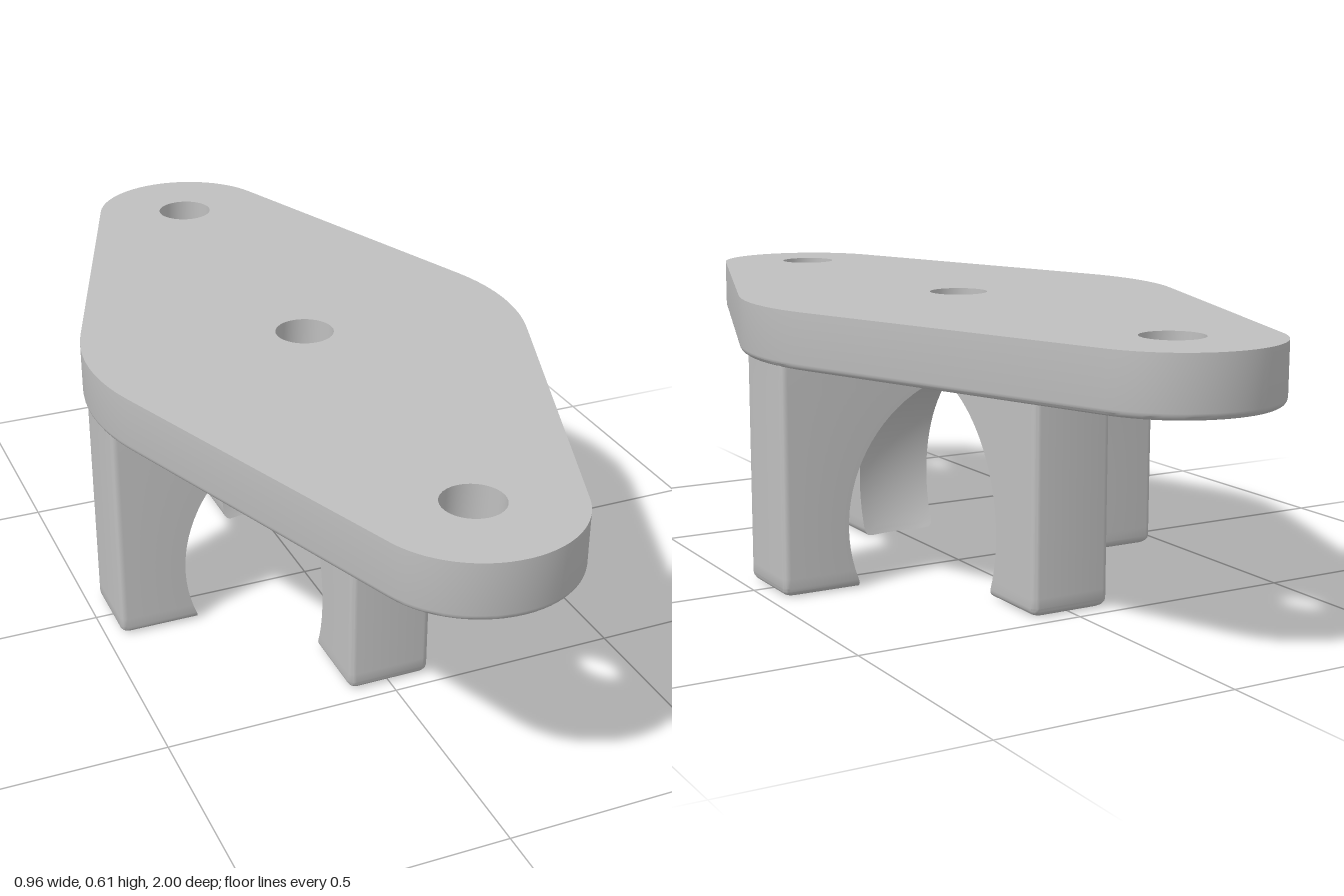
import * as THREE from 'three';
import { mergeGeometries, toCreasedNormals } from 'three/addons/utils/BufferGeometryUtils.js';

const TOP = 0.61, BOTTOM = 0.49, FLOOR = 0.525; // plate levels, nut pocket floor
const MID_R = 0.48, END_R = 0.21, END_Z = 0.79, HOLE_R = 0.063, NUT_R = 0.136;
const BALL_R = 0.33, BALL_Y = 0.135; // spherical socket between the legs

// Skin between matching [x, z] loops; rows going up face outwards, rows going down face inwards
function loft(rows, cap = false) {
  const pos = [];
  const put = (row, i) => {
    const p = row.loop[i % row.loop.length];
    pos.push(p[0], row.y, p[1]);
  };
  const n = rows[0].loop.length;
  for (let j = 0; j < rows.length - 1; j++) {
    const a = rows[j], b = rows[j + 1];
    for (let i = 0; i < n; i++) {
      put(a, i); put(b, i); put(a, i + 1);
      put(a, i + 1); put(b, i); put(b, i + 1);
    }
  }
  if (cap) {
    const r = rows[0];
    const cx = r.loop.reduce((s, p) => s + p[0], 0) / n;
    for (let i = 0; i < n; i++) {
      pos.push(cx, r.y, 0);
      put(r, i); put(r, i + 1);
    }
  }
  const g = new THREE.BufferGeometry();
  g.setAttribute('position', new THREE.Float32BufferAttribute(pos, 3));
  return toCreasedNormals(g, 0.6);
}

function arc(cx, cz, r, a0, a1, n) {
  return Array.from({ length: n + 1 }, (_, i) => {
    const a = a0 + (a1 - a0) * i / n;
    return [cx + r * Math.cos(a), cz + r * Math.sin(a)];
  });
}
const ring = (cz, r, n) => arc(0, cz, r, 0, Math.PI * 2, n).slice(0, n);

// Lozenge outline: large middle arc joined to smaller end arcs by tangents
function outline(inset) {
  const t = Math.asin((MID_R - END_R) / END_Z), P = Math.PI;
  return [
    ...arc(0, 0, MID_R - inset, -t, t, 10),
    ...arc(0, END_Z, END_R - inset, t, P - t, 28),
    ...arc(0, 0, MID_R - inset, P - t, P + t, 10),
    ...arc(0, -END_Z, END_R - inset, P + t, 2 * P - t, 28),
  ];
}

// Flat horizontal face with holes
function face(loop, holes, y, up) {
  const vec = (l) => l.map((p) => new THREE.Vector2(p[0], p[1]));
  const shape = new THREE.Shape(vec(loop));
  holes.forEach((h) => shape.holes.push(new THREE.Path(vec(h))));
  // turned over so that the shape's y runs along z
  const g = new THREE.ShapeGeometry(shape).toNonIndexed();
  g.deleteAttribute('uv');
  if (up) g.scale(1, -1, 1).rotateX(-Math.PI / 2);
  else g.rotateX(Math.PI / 2);
  if (up) {
    // mirrored above, so restore the corner order
    const p = g.attributes.position;
    for (let i = 0; i < p.count; i += 3) {
      const a = [p.getX(i), p.getY(i), p.getZ(i)];
      p.setXYZ(i, p.getX(i + 1), p.getY(i + 1), p.getZ(i + 1));
      p.setXYZ(i + 1, ...a);
    }
    g.computeVertexNormals();
  }
  return g.translate(0, y, 0);
}

function plateGeometry() {
  const edge = 0.014, parts = [], rows = [];
  for (let i = 0; i <= 4; i++) {
    const a = i / 4 * Math.PI / 2;
    rows.push({ y: BOTTOM + edge * (1 - Math.cos(a)), loop: outline(edge * (1 - Math.sin(a))) });
  }
  rows.push({ y: TOP, loop: outline(0) });
  parts.push(loft(rows));

  const bore = (z) => ring(z, HOLE_R, 32);
  const nut = (z) => ring(z, NUT_R, 6);
  const ends = [-END_Z, END_Z];
  parts.push(face(outline(0), [bore(0), ...ends.map(bore)], TOP, true));
  parts.push(face(outline(edge), [bore(0), ...ends.map(nut)], BOTTOM, false));
  parts.push(loft([{ y: TOP, loop: bore(0) }, { y: BOTTOM, loop: bore(0) }]));

  // bolt holes with hexagonal nut pockets underneath
  ends.forEach((z) => {
    parts.push(loft([{ y: TOP, loop: bore(z) }, { y: FLOOR, loop: bore(z) }]));
    parts.push(loft([{ y: FLOOR, loop: nut(z) }, { y: BOTTOM, loop: nut(z) }]));
    parts.push(face(nut(z), [bore(z)], FLOOR, false));
  });
  return mergeGeometries(parts);
}

// Leg section: rounded outer corners, inner side hollowed by the ball
function legLoop(y, inset) {
  const out = 0.467 - inset, half = 0.09 - inset, r = 0.014;
  const loop = [
    ...arc(out - r, -half + r, r, -Math.PI / 2, 0, 4),
    ...arc(out - r, half - r, r, 0, Math.PI / 2, 4),
  ];
  for (let i = 0; i <= 10; i++) {
    const w = half * (1 - i / 5);
    const d = BALL_R ** 2 - (y - BALL_Y) ** 2 - w * w;
    loop.push([Math.max(0.11, Math.sqrt(Math.max(0, d))), w]);
  }
  return loop;
}

function legGeometry() {
  const edge = 0.018, rows = [];
  for (let i = 0; i <= 4; i++) {
    const a = i / 4 * Math.PI / 2, y = edge * (1 - Math.cos(a));
    rows.push({ y, loop: legLoop(y, edge * (1 - Math.sin(a))) });
  }
  const a0 = Math.asin((edge - BALL_Y) / BALL_R), a1 = Math.asin((0.448 - BALL_Y) / BALL_R);
  for (let i = 1; i <= 24; i++) {
    const y = BALL_Y + BALL_R * Math.sin(a0 + (a1 - a0) * i / 24);
    rows.push({ y, loop: legLoop(y, 0) });
  }
  rows.push({ y: 0.495, loop: legLoop(0.495, 0) });
  return loft(rows, true);
}

export function createModel() {
  const model = new THREE.Group();
  model.name = 'ballSocketMount';
  const grey = new THREE.MeshStandardMaterial({ color: 0xbfbfbf });
  grey.name = 'light grey';

  const plate = new THREE.Mesh(plateGeometry(), grey);
  plate.name = 'mountingPlate';
  model.add(plate);

  // four gripping legs around the socket
  const leg = legGeometry();
  ['leftLeg', 'backLeg', 'rightLeg', 'frontLeg'].forEach((name, i) => {
    const mesh = new THREE.Mesh(leg, grey);
    mesh.name = name;
    mesh.rotation.y = i * Math.PI / 2;
    model.add(mesh);
  });
  return model;
}
